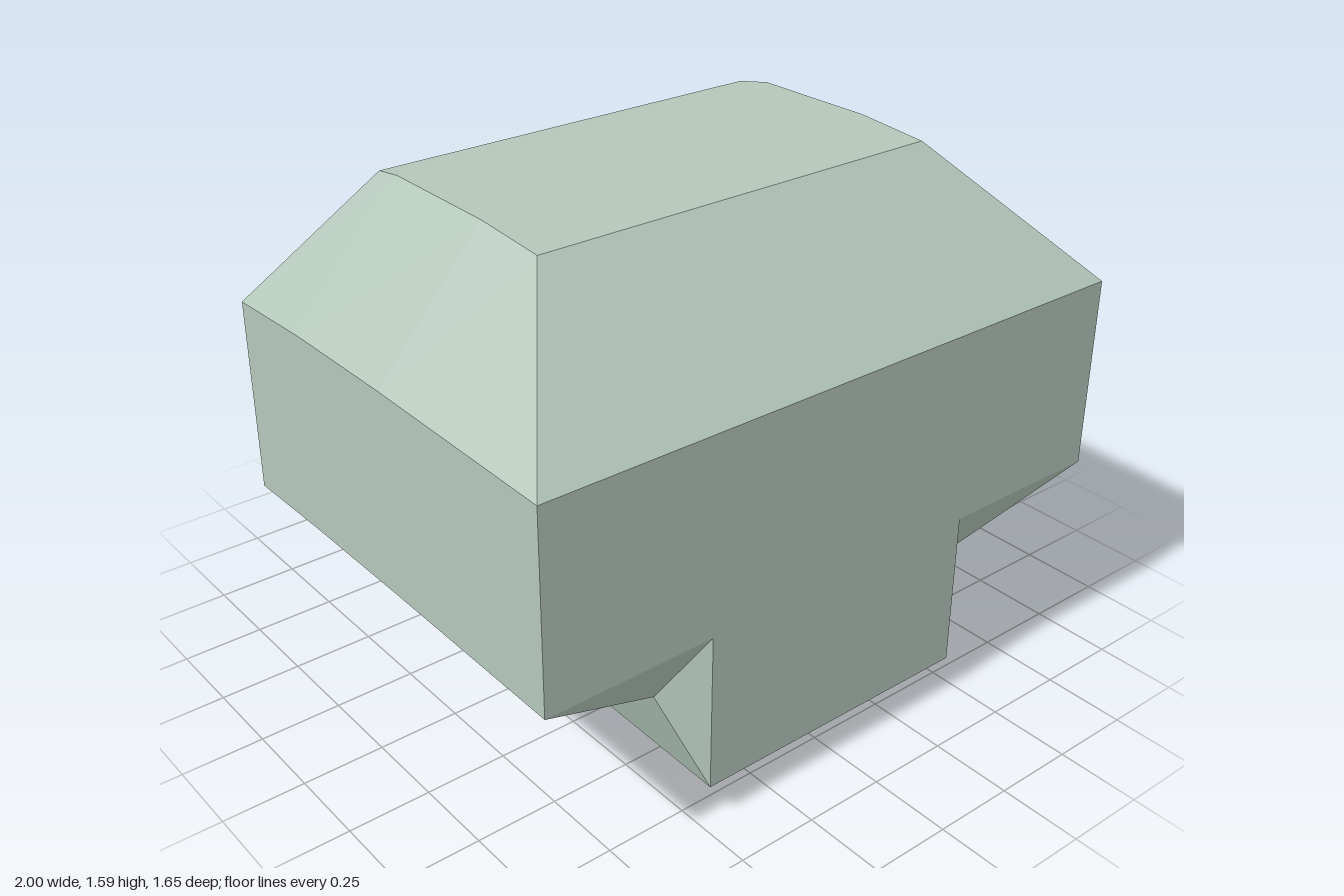
import * as THREE from 'three';

const bone = new THREE.MeshStandardMaterial({ color: 0xb4c7bb, flatShading: true });
bone.name = 'pale green bone';
const dark = new THREE.MeshStandardMaterial({ color: 0x352035, flatShading: true });
dark.name = 'dark socket';

// Builds a faceted mesh from polygons of the +x half, mirrored to -x
function mirroredMesh(name, polygons, material) {
  const positions = [];
  for (const poly of polygons) {
    for (let i = 1; i < poly.length - 1; i++) {
      const [a, b, c] = [poly[0], poly[i], poly[i + 1]];
      positions.push(...a, ...b, ...c);
      for (const [x, y, z] of [a, c, b]) positions.push(-x, y, z);
    }
  }
  const geometry = new THREE.BufferGeometry();
  geometry.setAttribute('position', new THREE.Float32BufferAttribute(positions, 3));
  geometry.computeVertexNormals();
  const mesh = new THREE.Mesh(geometry, material);
  mesh.name = name;
  return mesh;
}

const mid = ([, y, z]) => [0, y, z];

export function createModel() {
  // Cross-sections along z: roof edge, shoulder, cheek, notch, jaw
  const sections = [
    [[0.67, 1.57, 0.39], [0.995, 1.195, 0.825], [0.995, 0.6, 0.825], [0.56, 0.385, 0.7], [0.465, 0.113, 0.825]],
    [[0.67, 1.588, 0.15], [1, 1.213, 0.15], [1, 0.613, 0.15], [0.56, 0.4, 0.02], [0.465, 0.125, 0.15]],
    [[0.665, 1.588, -0.26], [1, 1.213, -0.26], [1, 0.613, -0.26], [0.56, 0.4, -0.4], [0.46, 0.013, -0.26]],
    [[0.655, 1.568, -0.37], [0.995, 1.195, -0.595], [0.995, 0.6, -0.595], [0.56, 0.385, -0.72], [0.46, 0, -0.825]],
  ];
  const shell = [];
  const rings = sections.map((s) => [mid(s[0]), ...s, mid(s[4])]);
  for (let i = 0; i < rings.length - 1; i++) {
    for (let r = 0; r < 6; r++) {
      shell.push([rings[i][r], rings[i][r + 1], rings[i + 1][r + 1], rings[i + 1][r]]);
    }
  }

  // Flat T-shaped end with sloping top
  const [R, T, C, N, J] = sections[0];
  const K = [0.465, 0.6, 0.825];
  const front = [
    [mid(R), mid(T), T, R],
    [mid(T), mid(C), C, T],
    [mid(K), mid(J), J, K],
    [K, N, C],
    [K, J, N],
  ];

  // Face end: brow, cheek ridge and snout around the eye openings
  const [r, t, c, n, j] = sections[3];
  const k = [0.46, 0.6, -0.825];
  const s = [0.5, 1.195, -0.595];
  const eye = [[0.71, 1.15, -0.605], [0.71, 0.97, -0.605], [0.465, 0.84, -0.734], [0.22, 0.955, -0.69]];
  const [a, b, d, e] = eye;
  const face = [
    [mid(r), r, s, mid(s)], [r, t, s],
    [mid(s), s, e], [s, a, e], [s, t, a],
    [t, b, a], [t, k, b], [k, d, b], [k, e, d],
    [mid(s), e, mid(k)], [e, k, mid(k)],
    [t, c, k], [c, n, k], [k, n, j],
    [mid(k), k, j, mid(j)],
  ];

  // Recessed sockets: rim walls and dark floor
  const floor = eye.map(([x, y, z]) => [x, y, z + 0.078]);
  const walls = eye.map((p, i) => {
    const next = (i + 1) % eye.length;
    return [floor[next], floor[i], p, eye[next]];
  });

  const group = new THREE.Group();
  group.name = 'skull';
  group.add(
    mirroredMesh('skullShell', shell, bone),
    mirroredMesh('flatEnd', front, bone),
    mirroredMesh('face', face, bone),
    mirroredMesh('eyeRims', walls, bone),
    mirroredMesh('eyeSockets', [floor], dark),
  );
  return group;
}
